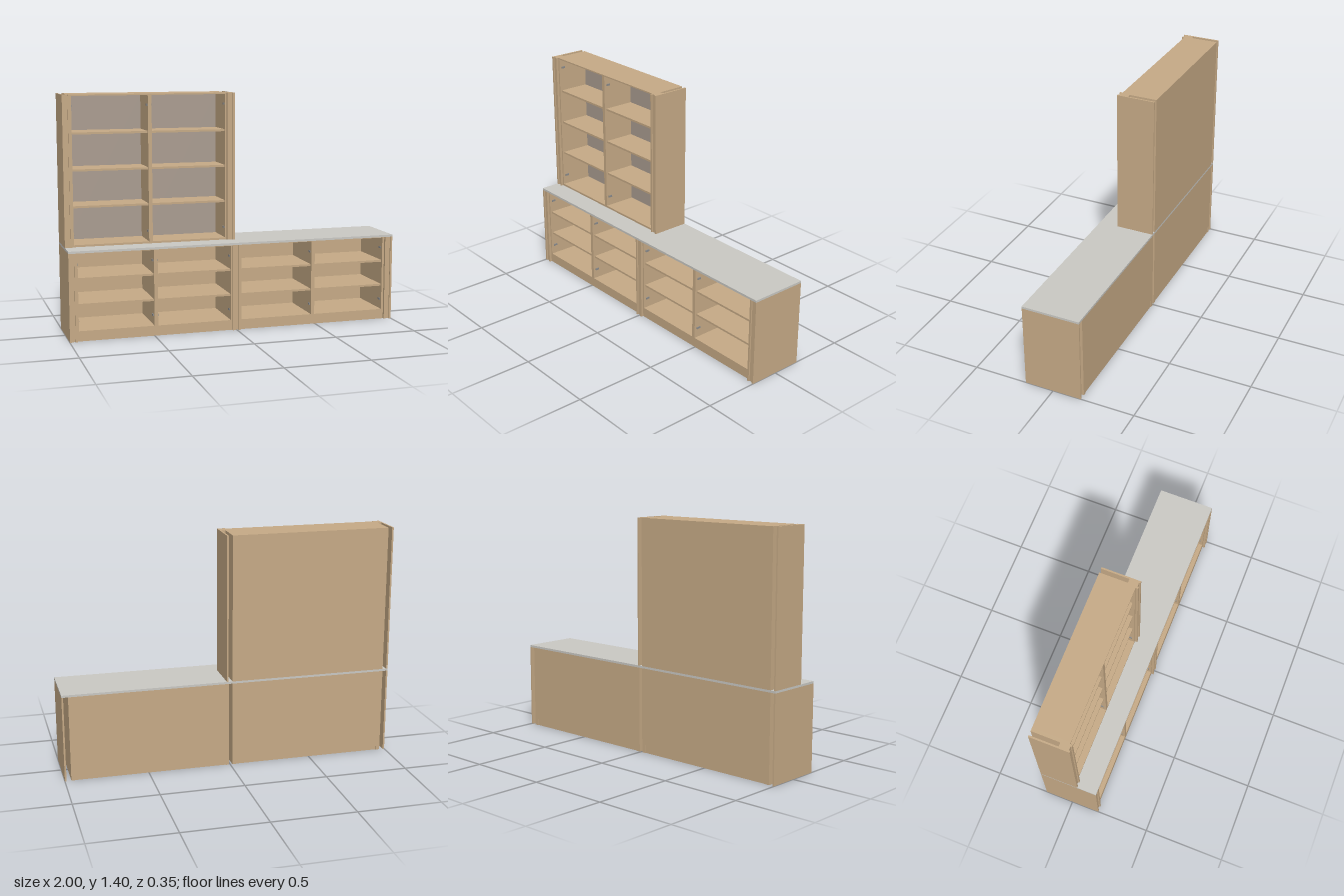
import * as THREE from 'three';

const material = (name, color) => Object.assign(new THREE.MeshStandardMaterial({ color }), { name });

export function createModel() {
  const wood = material('wood', 0xc6aa86);
  const stone = material('worktop grey', 0xcac9c4);
  const lining = material('back lining grey', 0xaa9c90);
  const metal = material('hinge grey', 0x8c8c8c);
  const root = new THREE.Group();
  root.name = 'cabinetUnit';

  // Box given by its limits on each axis
  const box = (parent, name, mat, x0, x1, y0, y1, z0, z1) => {
    const mesh = new THREE.Mesh(new THREE.BoxGeometry(x1 - x0, y1 - y0, z1 - z0), mat);
    mesh.position.set((x0 + x1) / 2, (y0 + y1) / 2, (z0 + z1) / 2);
    mesh.name = name;
    parent.add(mesh);
  };

  const BACK = -0.175, COUNTER = 0.515, UPPER = 0.528, TOP = 1.405;
  const WALL = 0.022, BOARD = 0.012;

  // Open cabinet with two bays, shelves and hinge plates
  function cabinet(name, { x0, x1, y0, y1, front, floor, shelves, hinges, top, backMat }) {
    const g = new THREE.Group();
    g.name = name;
    root.add(g);
    const mid = (x0 + x1) / 2;
    const inner = BACK + 0.012;
    const low = floor - BOARD;
    box(g, 'leftWall', wood, x0, x0 + WALL, y0, y1, BACK, front);
    box(g, 'rightWall', wood, x1 - WALL, x1, y0, y1, BACK, front);
    box(g, 'divider', wood, mid - 0.011, mid + 0.011, floor, y1 - top, inner, front);
    box(g, 'topBoard', wood, x0 + WALL, x1 - WALL, y1 - top, y1, BACK, front);
    box(g, 'bottomBoard', wood, x0 + WALL, x1 - WALL, low, floor, BACK, front);
    box(g, 'backPanel', wood, x0 + WALL, x1 - WALL, low, y1 - top, BACK, inner);
    const bays = [[x0 + WALL, mid - 0.011], [mid + 0.011, x1 - WALL]];
    for (const [a, b] of bays) {
      if (backMat) box(g, 'backLining', backMat, a, b, floor, y1 - top, inner, inner + 0.003);
      for (const y of shelves) box(g, 'shelf', wood, a, b, y - BOARD, y, inner, front - 0.012);
      for (const y of hinges) {
        box(g, 'hingePlate', metal, a, a + 0.005, y - 0.006, y + 0.006, front - 0.04, front - 0.015);
        box(g, 'hingePlate', metal, b - 0.005, b, y - 0.006, y + 0.006, front - 0.04, front - 0.015);
      }
    }
    return g;
  }

  // Channel-shaped pilaster: two raised lips with a recessed filler between
  function pilaster(name, x0, x1, y0, y1, front) {
    const g = new THREE.Group();
    g.name = name;
    root.add(g);
    const lip = 0.012;
    box(g, 'leftLip', wood, x0, x0 + lip, y0, y1, front - 0.015, front);
    box(g, 'rightLip', wood, x1 - lip, x1, y0, y1, front - 0.015, front);
    box(g, 'recessedFace', wood, x0 + lip, x1 - lip, y0, y1, front - 0.015, front - 0.008);
  }

  // Base cabinets, each standing on an open plinth frame
  const baseFront = 0.16;
  for (const [name, x0, x1] of [['leftBase', -0.967, -0.013], ['rightBase', 0.008, 0.962]]) {
    const g = cabinet(name, {
      x0, x1, y0: 0, y1: COUNTER, front: baseFront, floor: 0.06,
      shelves: [0.217, 0.368], hinges: [0.12, 0.445], top: 0.006,
    });
    const mid = (x0 + x1) / 2;
    box(g, 'kickBoard', wood, x0 + WALL, x1 - WALL, 0, 0.048, baseFront - 0.016, baseFront);
    box(g, 'rearRail', wood, x0 + WALL, x1 - WALL, 0, 0.048, BACK + 0.004, BACK + 0.02);
    box(g, 'plinthBrace', wood, mid - 0.011, mid + 0.011, 0, 0.048, BACK + 0.02, baseFront - 0.016);
  }

  // Base end panels, fillers and pilasters
  for (const s of [-1, 1]) {
    const a = s < 0 ? -1 : 0.99;
    box(root, 'baseEndPanel', wood, a, a + 0.01, 0, COUNTER, BACK, baseFront);
    const f = s < 0 ? -0.99 : 0.962;
    box(root, 'baseFiller', wood, f, f + (s < 0 ? 0.023 : 0.028), 0, COUNTER, 0.11, baseFront);
  }
  box(root, 'middleFiller', wood, -0.013, 0.008, 0, COUNTER, 0.11, baseFront);
  pilaster('leftBasePilaster', -1, -0.955, 0, COUNTER, 0.175);
  pilaster('middleBasePilaster', -0.026, 0.022, 0, COUNTER, 0.175);
  pilaster('rightBasePilaster', 0.953, 1, 0, COUNTER, 0.175);

  // Worktop
  box(root, 'worktop', stone, -1, 1, COUNTER, UPPER, BACK, 0.175);

  // Upper bookcase with its end panels, fillers and pilasters
  const upperFront = 0.042;
  cabinet('upperBookcase', {
    x0: -0.967, x1: -0.013, y0: UPPER, y1: TOP, front: upperFront, floor: UPPER + BOARD,
    shelves: [0.765, 0.977, 1.189], hinges: [0.6, 1.34], top: 0.008, backMat: lining,
  });
  box(root, 'upperLeftEndPanel', wood, -1, -0.99, UPPER, TOP, BACK, upperFront);
  box(root, 'upperRightEndPanel', wood, 0.011, 0.021, UPPER, TOP, BACK, upperFront);
  box(root, 'upperLeftFiller', wood, -0.99, -0.967, UPPER, TOP, -0.008, upperFront);
  box(root, 'upperRightFiller', wood, -0.013, 0.011, UPPER, TOP, -0.008, upperFront);
  pilaster('upperLeftPilaster', -1, -0.955, UPPER, TOP, 0.057);
  pilaster('upperRightPilaster', -0.026, 0.021, UPPER, TOP, 0.057);

  return root;
}
